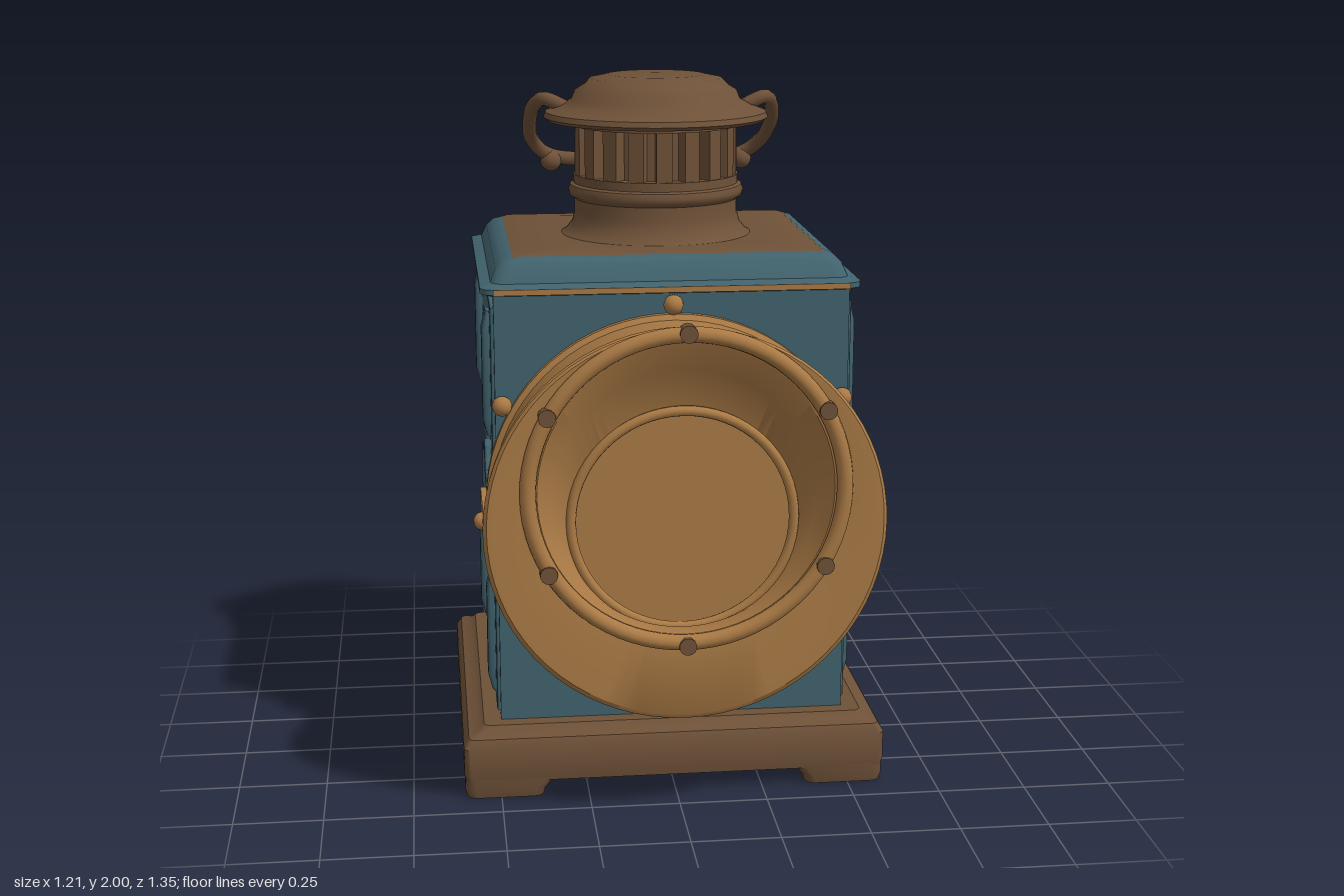
import * as THREE from 'three';
import { toCreasedNormals } from 'three/addons/utils/BufferGeometryUtils.js';

const paint = (name, color) => {
  const m = new THREE.MeshStandardMaterial({ color });
  m.name = name;
  return m;
};
const MID = -0.14; // z of the body's centre

// Skin through rings of equal length, closed at both ends
function loft(rings) {
  const n = rings[0].length, pos = [], idx = [];
  rings.forEach(r => r.forEach(p => pos.push(...p)));
  for (let i = 0; i < rings.length - 1; i++) {
    for (let j = 0; j < n; j++) {
      const a = i * n + j, b = i * n + (j + 1) % n;
      idx.push(a, b, b + n, a, b + n, a + n);
    }
  }
  const last = (rings.length - 1) * n;
  for (let j = 1; j < n - 1; j++) idx.push(0, j + 1, j, last, last + j, last + j + 1);
  const g = new THREE.BufferGeometry();
  g.setAttribute('position', new THREE.Float32BufferAttribute(pos, 3));
  g.setIndex(idx);
  return toCreasedNormals(g, 0.6);
}

// Horizontal rounded rectangle at height y
function rectRing(y, hx, hz, r, cx = 0, cz = 0) {
  const pts = [];
  for (let c = 0; c < 4; c++) {
    for (let k = 0; k <= 4; k++) {
      const a = (c + k / 4) * Math.PI / 2;
      const sx = c === 0 || c === 3 ? 1 : -1, sz = c < 2 ? -1 : 1;
      pts.push([cx + sx * (hx - r) + r * Math.cos(a), y, cz + sz * (hz - r) - r * Math.sin(a)]);
    }
  }
  return pts;
}

// Upright circle facing +z
function circleRing(cy, r, z, n = 72) {
  return Array.from({ length: n }, (_, i) => {
    const a = i / n * Math.PI * 2;
    return [r * Math.cos(a), cy + r * Math.sin(a), z];
  });
}

const rectPath = (P, x0, y0, x1, y1) => {
  const p = new P();
  p.moveTo(x0, y0); p.lineTo(x1, y0); p.lineTo(x1, y1); p.lineTo(x0, y1); p.closePath();
  return p;
};
const blob = pts => new THREE.CatmullRomCurve3(pts.map(p => new THREE.Vector3(p[0], p[1], 0)), true).getPoints(36);
const plate = (shape, depth, z, bevel = 0) => {
  const g = new THREE.ExtrudeGeometry(shape, {
    depth: depth - bevel, curveSegments: 12, bevelEnabled: bevel > 0,
    bevelSize: bevel, bevelOffset: -bevel, bevelThickness: bevel, bevelSegments: 2,
  });
  return g.translate(0, 0, z);
};

export function createModel() {
  const brown = paint('aged brown', 0x6e5138);
  const teal = paint('worn teal', 0x41636e);
  const brass = paint('warm brass', 0xaa7a45);
  const model = new THREE.Group();
  const add = (name, geo, mat, parent = model) => {
    const m = new THREE.Mesh(geo, mat);
    m.name = name;
    parent.add(m);
    return m;
  };

  // Base slab on four corner feet
  const bz = -0.132;
  add('baseSlab', loft([
    rectRing(0.05, 0.6, 0.54, 0.02, 0, bz), rectRing(0.07, 0.605, 0.543, 0.02, 0, bz),
    rectRing(0.15, 0.605, 0.543, 0.02, 0, bz), rectRing(0.175, 0.59, 0.53, 0.02, 0, bz),
    rectRing(0.185, 0.56, 0.5, 0.02, 0, bz), rectRing(0.2, 0.545, 0.485, 0.02, 0, bz),
  ]), brown);
  for (const sx of [-1, 1]) for (const sz of [-1, 1]) {
    add('baseFoot', loft([
      rectRing(0, 0.11, 0.11, 0.03, sx * 0.488, bz + sz * 0.426),
      rectRing(0.02, 0.115, 0.115, 0.03, sx * 0.488, bz + sz * 0.426),
      rectRing(0.07, 0.135, 0.135, 0.03, sx * 0.468, bz + sz * 0.406),
    ]), brown);
  }

  // Body core and front plate
  add('bodyCore', new THREE.BoxGeometry(0.88, 1.26, 0.8).translate(0, 0.82, MID), teal);
  add('bodyFront', new THREE.BoxGeometry(0.99, 1.26, 0.06).translate(0, 0.82, 0.28), teal);

  // A pierced wall with a raised frame, facing local +z
  const wall = (name, angle, half, dist, holes, win) => {
    const g = new THREE.Group();
    g.name = name;
    g.position.z = MID;
    g.rotation.y = angle;
    const sheet = rectPath(THREE.Shape, -half, 0.19, half, 1.45);
    holes.forEach(h => sheet.holes.push(new THREE.Path(h)));
    add('piercedSheet', plate(sheet, 0.05, dist), teal, g);
    const frame = rectPath(THREE.Shape, -half + 0.02, 0.22, half - 0.02, 1.4);
    frame.holes.push(rectPath(THREE.Path, -win[0], win[1], win[0], win[2]));
    add('raisedFrame', plate(frame, 0.02, dist + 0.045, 0.006), teal, g);
    model.add(g);
    return g;
  };

  // Leaf-shaped openings, mirrored four ways
  const leaf = [[-0.2, 1.2], [-0.12, 1.235], [-0.04, 1.22], [-0.05, 1.16], [-0.085, 1.1],
    [-0.05, 1.03], [-0.06, 0.96], [-0.12, 0.97], [-0.13, 1.08], [-0.19, 1.14]];
  const leaves = [];
  for (const sx of [-1, 1]) for (const sy of [-1, 1]) {
    leaves.push(blob(leaf.map(([x, y]) => [sx * x, sy > 0 ? y : 1.66 - y])));
  }
  // Petal openings at the back
  const petals = [[-0.13, 1.2, 0.05, 0.05], [0, 1.22, 0.05, 0.055], [0.13, 1.2, 0.05, 0.05],
    [-0.13, 1.06, 0.045, 0.05], [0, 1.06, 0.045, 0.07], [0.13, 1.06, 0.045, 0.05],
    [-0.13, 0.57, 0.045, 0.065], [0, 0.53, 0.045, 0.1], [0.13, 0.57, 0.045, 0.065]]
    .map(([x, y, rx, ry]) => new THREE.EllipseCurve(x, y, rx, ry).getPoints(20).slice(0, -1));
  wall('backWall', Math.PI, 0.485, 0.4, petals, [0.33, 0.34, 1.32]);

  for (const s of [-1, 1]) {
    const side = wall(s > 0 ? 'leftWall' : 'rightWall', s * Math.PI / 2, 0.45, 0.44, leaves, [0.25, 0.37, 1.27]);
    // Ornate clasp on the wall, pointing back from the lens drum
    const clasp = [[-0.45, 0.77], [-0.38, 0.78], [-0.3, 0.72], [-0.24, 0.75], [-0.15, 0.76], [-0.07, 0.84],
      [-0.15, 0.9], [-0.2, 0.97], [-0.26, 0.95], [-0.31, 1], [-0.36, 0.92], [-0.45, 0.9]];
    add('claspPlate', plate(new THREE.Shape(blob(clasp.map(([x, y]) => [s * x, y]))), 0.04, 0.485, 0.008), teal, side);
    // Brass strap and knob
    add('claspStrap', new THREE.BoxGeometry(0.05, 0.1, 0.21).translate(s * 0.515, 0.84, 0.395), brass);
    add('claspKnob', new THREE.SphereGeometry(0.025, 16, 12).translate(s * 0.54, 0.84, 0.45), brass);
    // Rear hinges and edge lugs
    for (const [y, h] of [[1.13, 0.22], [0.5, 0.18]]) {
      add('hinge', loft([
        rectRing(y - h / 2, 0.03, 0.04, 0.015, s * 0.485, -0.56),
        rectRing(y + h / 2, 0.03, 0.04, 0.015, s * 0.485, -0.56),
      ]), teal);
    }
    for (const [y, h] of [[1.2, 0.36], [0.44, 0.36]]) {
      for (const z of [0.2, -0.46]) {
        add('edgeMoulding', loft([
          rectRing(y - h / 2, 0.01, 0.03, 0.01, s * 0.505, z),
          rectRing(y - h / 2 + 0.05, 0.022, 0.04, 0.015, s * 0.505, z),
          rectRing(y + h / 2 - 0.05, 0.022, 0.04, 0.015, s * 0.505, z),
          rectRing(y + h / 2, 0.01, 0.03, 0.01, s * 0.505, z),
        ]), teal);
      }
    }
  }

  // Roof cornice, brown roof sheet and brass front strip
  const rz = -0.15;
  add('roofCornice', loft([
    rectRing(1.43, 0.5, 0.45, 0.03, 0, rz), rectRing(1.44, 0.53, 0.47, 0.04, 0, rz),
    rectRing(1.455, 0.53, 0.47, 0.04, 0, rz), rectRing(1.465, 0.5, 0.44, 0.04, 0, rz),
    rectRing(1.5, 0.485, 0.425, 0.04, 0, rz), rectRing(1.52, 0.465, 0.41, 0.04, 0, rz),
    rectRing(1.53, 0.44, 0.38, 0.04, 0, rz),
  ]), teal);
  add('roofSheet', loft([
    rectRing(1.523, 0.455, 0.395, 0.03, 0, rz), rectRing(1.533, 0.43, 0.37, 0.03, 0, rz),
    rectRing(1.538, 0.3, 0.3, 0.03, 0, rz),
  ]), brown);
  add('roofFrontStrip', new THREE.BoxGeometry(0.99, 0.016, 0.008).translate(0, 1.447, 0.321), brass);

  // Chimney with slotted vent and domed cap
  const chimney = new THREE.Group();
  chimney.name = 'chimney';
  chimney.position.z = -0.13;
  model.add(chimney);
  const lathe = pts => toCreasedNormals(
    new THREE.LatheGeometry(pts.map(p => new THREE.Vector2(...p)), 64), 0.7);
  add('chimneyNeck', lathe([[0.29, 1.53], [0.265, 1.545], [0.245, 1.57], [0.238, 1.6], [0.238, 1.64],
    [0.252, 1.65], [0.256, 1.665], [0.25, 1.68], [0.24, 1.685], [0.24, 1.71], [0.195, 1.71],
    [0.195, 1.85], [0.24, 1.85], [0.24, 1.88]]), brown, chimney);
  for (let i = 0; i < 18; i++) {
    const a = i / 18 * Math.PI * 2;
    add('ventPost', new THREE.BoxGeometry(0.045, 0.15, 0.042).translate(0, 1.78, 0.214).rotateY(a), brown, chimney);
  }
  add('chimneyCap', lathe([[0.22, 1.87], [0.315, 1.865], [0.326, 1.875], [0.32, 1.89], [0.28, 1.905],
    [0.245, 1.925], [0.235, 1.95], [0.21, 1.965], [0.19, 1.985], [0.14, 1.995], [0, 2]]), brown, chimney);

  // Carrying handle, drooping behind the chimney
  const half = [[0.26, 1.9, -0.14], [0.32, 1.925, -0.15], [0.35, 1.9, -0.2], [0.36, 1.83, -0.28],
    [0.34, 1.77, -0.36], [0.29, 1.73, -0.395]];
  const path = [...half, [0.15, 1.715, -0.4], [0, 1.71, -0.405], [-0.15, 1.715, -0.4],
    ...half.map(([x, y, z]) => [-x, y, z]).reverse()].map(p => new THREE.Vector3(...p));
  add('handle', new THREE.TubeGeometry(new THREE.CatmullRomCurve3(path), 90, 0.021, 10), brown);
  for (const s of [-1, 1]) {
    add('handleKnuckle', new THREE.SphereGeometry(0.032, 14, 10).translate(s * 0.29, 1.715, -0.39), brown);
  }

  // Lens drum: flared shell, off-centre bezel seat and recessed lens
  add('lensDrum', loft([
    circleRing(0.855, 0.525, 0.3), circleRing(0.855, 0.525, 0.33), circleRing(0.855, 0.51, 0.34),
    circleRing(0.855, 0.515, 0.5), circleRing(0.855, 0.525, 0.55), circleRing(0.855, 0.54, 0.57),
    circleRing(0.855, 0.53, 0.6), circleRing(0.855, 0.54, 0.615), circleRing(0.86, 0.545, 0.635),
    circleRing(0.865, 0.535, 0.645), circleRing(0.96, 0.43, 0.645), circleRing(0.96, 0.4, 0.64),
    circleRing(0.92, 0.36, 0.58), circleRing(0.86, 0.315, 0.55), circleRing(0.855, 0.3, 0.525),
  ]), brass);
  add('bezelRing', new THREE.TorusGeometry(0.425, 0.022, 12, 72).translate(0, 0.965, 0.65), brass);
  add('lensRing', new THREE.TorusGeometry(0.305, 0.014, 10, 64).translate(0, 0.855, 0.55), brass);
  for (let i = 0; i < 6; i++) {
    const a = (i + 0.5) * Math.PI / 3, c = Math.cos(a), s = Math.sin(a);
    add('bezelBolt', new THREE.CylinderGeometry(0.024, 0.024, 0.04, 14).rotateX(Math.PI / 2)
      .translate(0.43 * c, 0.965 + 0.43 * s, 0.657), brown);
    add('flangeBolt', new THREE.SphereGeometry(0.028, 14, 10)
      .translate(0.55 * c, 0.855 + 0.55 * s, 0.325), i === 4 ? teal : brass);
  }
  return model;
}
